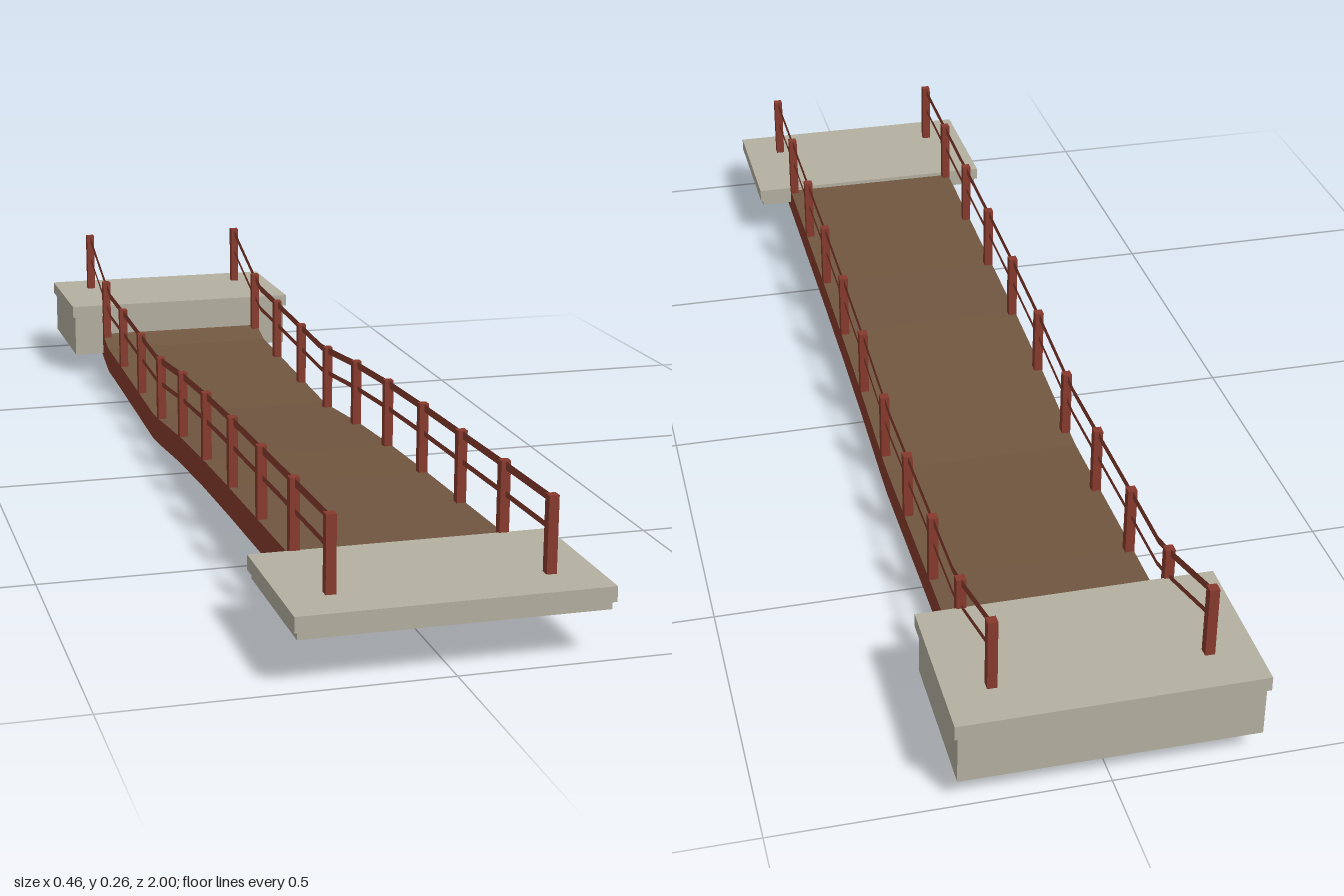
import * as THREE from 'three';

const material = (name, color) => {
  const m = new THREE.MeshStandardMaterial({ color, side: THREE.DoubleSide });
  m.name = name;
  return m;
};

// Height of the underside along the span, as [z, y]
const PROFILE = [
  [0.93, 0.058], [0.74, 0.053], [0.555, 0.047], [0.37, 0.041], [0.185, 0.033], [0, 0.021],
  [-0.185, 0.003], [-0.23, 0], [-0.37, 0.005], [-0.555, 0.012], [-0.69, 0.016],
  [-0.74, 0.03], [-0.93, 0.096],
];
const DECK = 0.048;        // deck thickness
const RAIL_TOP = 0.164;    // rail top above the underside
const HALF = 0.167;        // half width of the deck
const POST_X = 0.16;

function heightAt(z) {
  for (let i = 1; i < PROFILE.length; i++) {
    const [z0, y0] = PROFILE[i - 1], [z1, y1] = PROFILE[i];
    if (z >= z1) return y0 + (y1 - y0) * (z0 - z) / (z0 - z1);
  }
  return PROFILE[PROFILE.length - 1][1];
}

// Strip following the span between two edges given as [x, height offset]
function ribbon(a, b) {
  const pos = [];
  for (let i = 1; i < PROFILE.length; i++) {
    const [z0, y0] = PROFILE[i - 1], [z1, y1] = PROFILE[i];
    const a0 = [a[0], y0 + a[1], z0], a1 = [a[0], y1 + a[1], z1];
    const b0 = [b[0], y0 + b[1], z0], b1 = [b[0], y1 + b[1], z1];
    pos.push(...a0, ...b0, ...b1, ...a0, ...b1, ...a1);
  }
  const g = new THREE.BufferGeometry();
  g.setAttribute('position', new THREE.Float32BufferAttribute(pos, 3));
  g.computeVertexNormals();
  return g;
}

export function createModel() {
  const stone = material('stone', 0xb4afa0);
  const planks = material('planks', 0x705640);
  const redPaint = material('redPaint', 0x873a2d);
  const underside = material('underside', 0x222120);

  const model = new THREE.Group();
  model.name = 'footbridge';
  const add = (name, geometry, mat, parent = model) => {
    const mesh = new THREE.Mesh(geometry, mat);
    mesh.name = name;
    parent.add(mesh);
    return mesh;
  };

  // Deck: open-ended shell of walkway, underside and side girders
  add('walkway', ribbon([-HALF, DECK], [HALF, DECK]), planks);
  add('deckUnderside', ribbon([HALF, 0], [-HALF, 0]), underside);

  for (const [side, s] of [['left', 1], ['right', -1]]) {
    add(side + 'Girder', ribbon([s * HALF, 0], [s * HALF, DECK]), redPaint);

    // Railing: thin rails and square posts
    const railing = new THREE.Group();
    railing.name = side + 'Railing';
    model.add(railing);
    const x = s * POST_X;
    add('topRail', ribbon([x, RAIL_TOP - 0.013], [x, RAIL_TOP]), redPaint, railing);
    add('middleRail', ribbon([x, 0.11], [x, 0.119]), redPaint, railing);
    for (let i = -5; i <= 5; i++) {
      const z = i * 0.185;
      const height = RAIL_TOP - DECK + 0.002;
      const post = add('post', new THREE.BoxGeometry(0.015, height, 0.015), redPaint, railing);
      post.position.set(x, heightAt(z) + DECK + height / 2 - 0.001, z);
    }
  }

  // Abutments: a stone cap on a hollow base that is open below
  for (const [end, s, bottom, top] of [['front', 1, 0.073, 0.108], ['back', -1, 0.04, 0.144]]) {
    const abutment = new THREE.Group();
    abutment.name = end + 'Abutment';
    model.add(abutment);
    const capHeight = 0.023;
    const cap = add('cap', new THREE.BoxGeometry(0.46, capHeight, 0.255), stone, abutment);
    cap.position.set(0, top - capHeight / 2, s * 0.8725);

    const baseHeight = top - capHeight - bottom;
    const walls = new THREE.BoxGeometry(0.45, baseHeight, 0.245);
    walls.clearGroups();
    walls.addGroup(0, 12, 0);
    walls.addGroup(24, 12, 0);
    const base = add('base', walls, [stone], abutment);
    base.position.set(0, bottom + baseHeight / 2, s * 0.8725);
  }
  return model;
}
